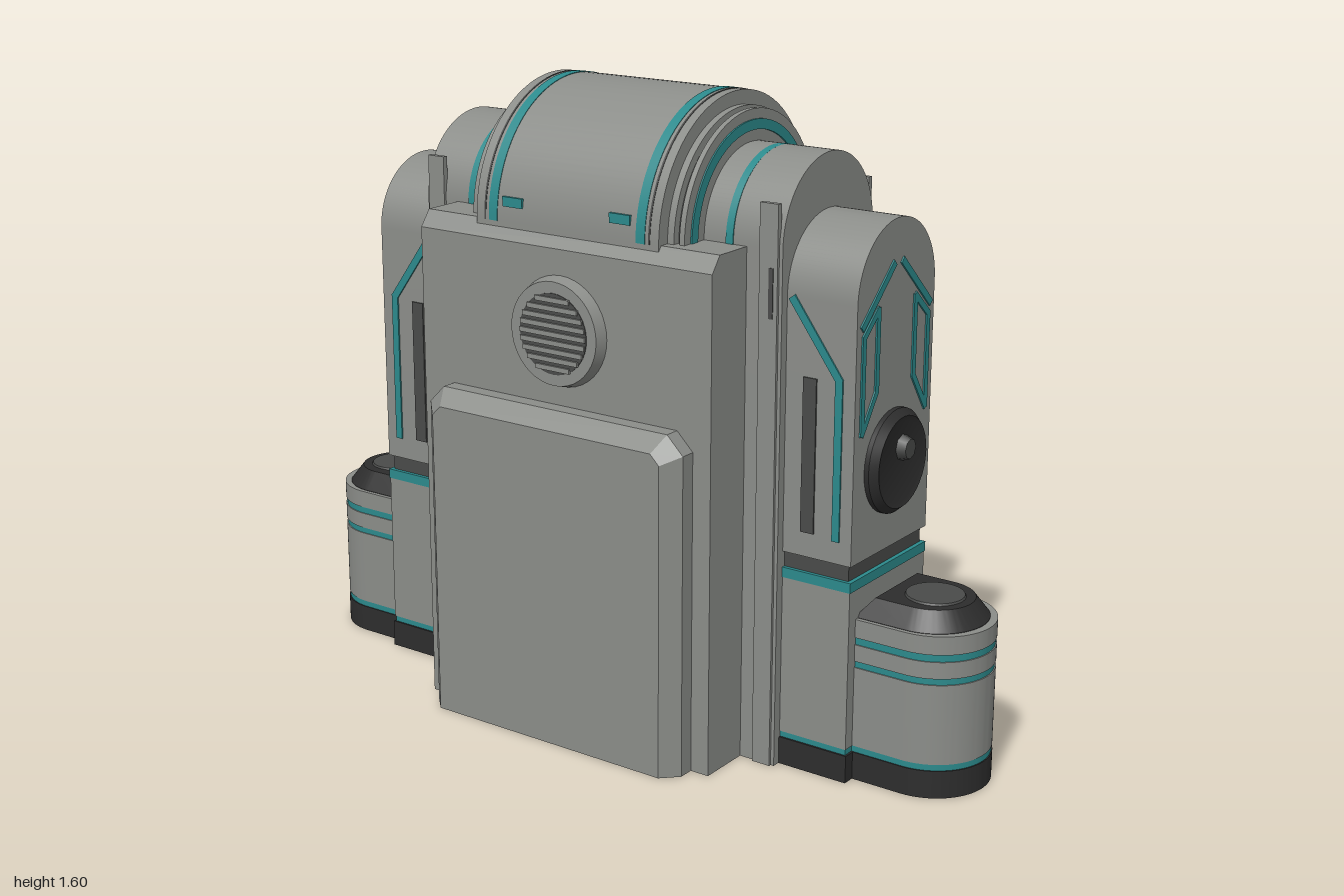
import * as THREE from 'three';
import { toCreasedNormals } from 'three/addons/utils/BufferGeometryUtils.js';

const mat = (name, color) => Object.assign(new THREE.MeshStandardMaterial({ color }), { name });

export function createModel() {
  const grey = mat('hull grey', 0x8b8d89);
  const teal = mat('teal trim', 0x2c8a8c);
  const dark = mat('dark rubber', 0x2d2d2d);
  const slate = mat('slate grey', 0x4a4b4a);
  const root = new THREE.Group();
  root.name = 'gatehouse';

  const add = (name, geo, m, parent = root) => {
    const mesh = new THREE.Mesh(geo, m);
    mesh.name = name;
    parent.add(mesh);
    return mesh;
  };
  const extrude = (shape, depth, opts = {}) => toCreasedNormals(
    new THREE.ExtrudeGeometry(shape, { depth, bevelEnabled: false, curveSegments: 28, ...opts }), 0.5);
  const poly = pts => new THREE.Shape(pts.map(p => new THREE.Vector2(...p)));
  const box = (name, x0, x1, y0, y1, z0, z1, m, parent) => {
    const mesh = add(name, new THREE.BoxGeometry(x1 - x0, y1 - y0, z1 - z0), m, parent);
    mesh.position.set((x0 + x1) / 2, (y0 + y1) / 2, (z0 + z1) / 2);
    return mesh;
  };

  // Round-topped upright shape and a hollow arch band standing on the floor
  const archShape = (r, cy, y0 = 0) => {
    const s = new THREE.Shape();
    s.moveTo(-r, y0).lineTo(r, y0).lineTo(r, cy).absarc(0, cy, r, 0, Math.PI, false);
    return s;
  };
  const innerArch = (s, r, cy) => {
    s.lineTo(-r, 0).lineTo(-r, cy).absarc(0, cy, r, Math.PI, 0, true);
    s.lineTo(r, 0);
    return s;
  };
  const CY = 0.505;
  const archBand = (ro, ri) => {
    const s = new THREE.Shape();
    s.moveTo(ri, 0).lineTo(ro, 0).lineTo(ro, CY).absarc(0, CY, ro, 0, Math.PI, false);
    s.lineTo(-ro, 0);
    return innerArch(s, ri, CY);
  };
  const alongZ = (name, shape, half, m) => {
    const geo = extrude(shape, half * 2);
    geo.translate(0, 0, -half);
    return add(name, geo, m);
  };
  const alongX = (name, shape, x0, x1, m) => {
    const geo = extrude(shape, x1 - x0);
    geo.rotateY(Math.PI / 2).translate(x0, 0, 0);
    return add(name, geo, m);
  };

  // Thin strip following points in a plane
  const strip = (name, pts, w, m, parent, closed = false) => {
    const g = new THREE.Group();
    g.name = name;
    const n = closed ? pts.length : pts.length - 1;
    for (let i = 0; i < n; i++) {
      const [ax, ay] = pts[i], [bx, by] = pts[(i + 1) % pts.length];
      const bar = add(name + 'Bar', new THREE.BoxGeometry(w, Math.hypot(bx - ax, by - ay) + w * 0.5, 0.008), m, g);
      bar.position.set((ax + bx) / 2, (ay + by) / 2, 0);
      bar.rotation.z = Math.atan2(by - ay, bx - ax) - Math.PI / 2;
    }
    parent.add(g);
  };
  const face = (name, x, sx) => {
    const g = new THREE.Group();
    g.name = name;
    g.position.x = x * sx;
    g.rotation.y = sx * Math.PI / 2;
    root.add(g);
    return g;
  };
  const flip = (pts, s) => pts.map(([u, v]) => [u * s, v]);

  // Core block with chamfered shoulders, and door wall with its recess
  alongZ('coreBlock', poly([[-0.34, 0], [0.22, 0], [0.22, 1.2], [0.34, 1.2], [0.34, 1.24],
    [0.31, 1.28], [-0.31, 1.28], [-0.34, 1.24]]), 0.435, grey);
  const wall = poly([[0.235, 0], [0.435, 0], [0.435, 1.2], [-0.435, 1.2], [-0.435, 0]]);
  alongX('doorWall', innerArch(wall, 0.235, CY), 0.22, 0.34, grey);

  // Barrel roof with stepped end rings
  alongZ('barrelRoof', archShape(0.32, 1.28, 1.2), 0.272, grey);
  alongZ('roofNeck', archShape(0.265, 1.28, 1.2), 0.3, slate);
  alongZ('roofRingInner', archShape(0.285, 1.28, 1.2), 0.29, grey);
  for (const s of [1, -1]) {
    const ring = (name, ro, ri, z, depth, m) => {
      const sh = new THREE.Shape();
      sh.absarc(0, 1.28, ro, 0, Math.PI, false);
      sh.absarc(0, 1.28, ri, Math.PI, 0, true);
      add(name, extrude(sh, depth), m).position.z = s * z - depth / 2;
    };
    ring('roofEndRing', 0.28, 0.2, 0.309, 0.014, grey);
    ring('roofEndTrim', 0.255, 0.23, 0.315, 0.01, teal);
    ring('barrelTrim', 0.3215, 0.31, s * 0.22 * s, 0.026, teal);
    ring('barrelGroove', 0.3212, 0.31, 0.245, 0.005, slate);
    ring('shoulderTrim', 0.203, 0.19, 0.388, 0.02, teal);
    // Small roof lights
    for (const sx of [1, -1]) {
      box('roofLight', sx * 0.315 - 0.006, sx * 0.315 + 0.006, 1.318, 1.342, s * 0.16 - 0.03, s * 0.16 + 0.03, teal);
    }
  }

  // Stepped buttress sections running through both ends
  alongZ('shoulderSection', archShape(0.2, 1.283), 0.533, grey);
  alongZ('buttressUpper', archShape(0.177, 1.173, 0.55), 0.72, grey);
  box('buttressGroove', -0.168, 0.168, 0.5, 0.56, -0.71, 0.71, slate);
  box('buttressTrim', -0.178, 0.178, 0.485, 0.51, -0.721, 0.721, teal);
  box('buttressLower', -0.176, 0.176, 0.085, 0.487, -0.719, 0.719, grey);
  box('buttressBaseTrim', -0.174, 0.174, 0.068, 0.087, -0.717, 0.717, teal);
  box('buttressFoot', -0.179, 0.179, 0, 0.07, -0.722, 0.722, dark);

  // Shoulder pilasters and slots, buttress side lights
  for (const sx of [1, -1]) {
    for (const s of [1, -1]) {
      box('pilaster', sx * 0.2 - 0.007, sx * 0.2 + 0.007, 0, 1.39, s * 0.499 - 0.025, s * 0.499 + 0.025, grey);
      box('pilasterSlot', sx * 0.205 - 0.004, sx * 0.205 + 0.004, 1.12, 1.24, s * 0.507 - 0.006, s * 0.507 + 0.006, slate);
    }
    const side = face('buttressSide', 0.177, sx);
    for (const s of [1, -1]) {
      strip('sideLight', flip([[0.55, 1.17], [0.678, 0.995], [0.678, 0.61]], s), 0.02, teal, side);
      strip('sideVent', flip([[0.6, 0.98], [0.6, 0.62]], s), 0.036, slate, side);
    }
  }

  // Both ends: lights, round port and rounded pod
  const stadium = (r, z0, zc) => {
    const s = new THREE.Shape();
    s.moveTo(-r, z0).lineTo(r, z0).lineTo(r, zc).absarc(0, zc, r, 0, Math.PI, false);
    return s;
  };
  for (const s of [1, -1]) {
    const end = new THREE.Group();
    end.name = s > 0 ? 'frontEnd' : 'backEnd';
    end.rotation.y = s > 0 ? 0 : Math.PI;
    root.add(end);
    const lights = new THREE.Group();
    lights.name = 'endLights';
    lights.position.z = 0.72;
    end.add(lights);
    for (const m of [1, -1]) {
      strip('endFrame', flip([[0.085, 1.15], [0.147, 1.095], [0.147, 0.865], [0.085, 0.955]], m), 0.016, teal, lights, true);
      strip('endDiagonal', flip([[0.02, 1.245], [0.155, 1.12]], m), 0.018, teal, lights);
    }
    const port = add('endPort', new THREE.LatheGeometry([[0, -0.01], [0.128, -0.01], [0.128, 0.012], [0.112, 0.03],
      [0.1, 0.026], [0, 0.03]].map(p => new THREE.Vector2(...p)), 36).toNonIndexed(), dark, end);
    port.geometry = toCreasedNormals(port.geometry, 0.4);
    port.rotation.x = Math.PI / 2;
    port.position.set(0, 0.767, 0.72);
    const knob = add('portKnob', new THREE.CylinderGeometry(0.025, 0.034, 0.025, 8), slate, end);
    knob.rotation.x = Math.PI / 2;
    knob.position.set(0, 0.803, 0.757);

    const layer = (name, r, y0, y1, m, zc = 0.853) => {
      const geo = extrude(stadium(r, 0.6, zc), y1 - y0);
      geo.rotateX(Math.PI / 2).translate(0, y1, 0);
      add(name, geo, m, end);
    };
    layer('podFoot', 0.147, 0, 0.07, dark);
    layer('podBaseTrim', 0.144, 0.07, 0.086, teal);
    layer('podBody', 0.146, 0.086, 0.288, grey);
    layer('podTrimLow', 0.143, 0.288, 0.304, teal);
    layer('podBand', 0.146, 0.304, 0.346, grey);
    layer('podTrimHigh', 0.143, 0.346, 0.364, teal);
    layer('podRim', 0.146, 0.364, 0.41, grey);
    const cap = extrude(stadium(0.135, 0.71, 0.845), 0.01,
      { bevelEnabled: true, bevelThickness: 0.045, bevelSize: 0.035, bevelOffset: -0.035, bevelSegments: 1 });
    cap.rotateX(Math.PI / 2).translate(0, 0.411, 0);
    add('podCap', cap, dark, end);
    add('podHatch', new THREE.CylinderGeometry(0.07, 0.075, 0.01, 28), slate, end).position.set(0, 0.456, 0.85);
  }

  // Doorway: stepped surround with trim, dark lining and sill
  alongX('archBase', archBand(0.385, 0.235), 0.33, 0.395, grey);
  alongX('archOuterBand', archBand(0.368, 0.34), 0.39, 0.42, grey);
  alongX('archOuterTrim', archBand(0.341, 0.309), 0.39, 0.41, teal);
  alongX('archMiddleBand', archBand(0.31, 0.27), 0.39, 0.42, grey);
  alongX('archInnerTrim', archBand(0.271, 0.238), 0.39, 0.41, teal);
  alongX('doorLining', archBand(0.239, 0.163), 0.22, 0.36, dark);
  box('doorSill', 0.215, 0.358, 0, 0.09, -0.165, 0.165, dark);

  // Door wall details
  const doorFace = face('doorWallDetails', 0.341, 1);
  for (const s of [1, -1]) {
    strip('wallLight', flip([[0.367, 1.155], [0.367, 1.04], [0.305, 0.975], [0.305, 0.835]], s), 0.018, teal, doorFace);
    strip('wallLight', flip([[0.427, 1.1], [0.427, 1.0], [0.38, 0.95], [0.38, 0.755]], s), 0.018, teal, doorFace);
    strip('screenFrame', flip([[0.258, 1.195], [0.145, 1.195], [0.145, 1.13], [0.18, 1.095], [0.235, 1.095], [0.258, 1.125]], s),
      0.012, slate, doorFace, true);
    strip('wallSeam', flip([[0.434, 0.68], [0.3, 0.81]], s), 0.006, slate, doorFace);
    // Lights and seams on the wall ends
    box('wallEndLight', 0.21, 0.336, 0.998, 1.02, s * 0.435 - 0.004, s * 0.435 + 0.004, teal);
    box('wallEndSeam', 0.21, 0.34, 0.676, 0.684, s * 0.435 - 0.002, s * 0.435 + 0.002, slate);
  }
  strip('wallTopSeam', [[-0.43, 1.236], [0.43, 1.236]], 0.006, slate, doorFace);

  // Round emblems-free medallions on both walls
  const disc = (name, r, x0, x1, m, r2 = r) => {
    const mesh = add(name, new THREE.CylinderGeometry(x1 > 0 ? r2 : r, x1 > 0 ? r : r2, Math.abs(x1 - x0), 40), m);
    mesh.rotation.z = -Math.PI / 2;
    mesh.position.set((x0 + x1) / 2, 1.04, 0);
  };
  disc('doorDiscRim', 0.148, 0.33, 0.362, grey, 0.138);
  disc('doorDiscTrim', 0.118, 0.34, 0.365, teal);
  disc('doorDiscCentre', 0.098, 0.34, 0.368, grey);
  disc('ventRim', 0.14, -0.33, -0.37, grey, 0.128);
  disc('ventWell', 0.1, -0.34, -0.372, slate);
  for (let i = -4; i <= 4; i++) {
    const y = i * 0.021, w = Math.sqrt(0.0096 - y * y);
    box('ventLouvre', -0.377, -0.36, 1.04 + y - 0.006, 1.04 + y + 0.006, -w, w, grey);
  }

  // Bevelled slab on the far wall
  const slab = extrude(poly([[-0.385, 0], [0.385, 0], [0.385, 0.81], [0.34, 0.855], [-0.34, 0.855], [-0.385, 0.81]]), 0.05);
  slab.rotateY(-Math.PI / 2).translate(-0.33, 0, 0);
  const p = slab.attributes.position;
  add('slabBase', slab, grey);
  const rim = [[0.385, 0, 0.345, 0], [0.385, 0.81, 0.345, 0.79], [0.34, 0.855, 0.32, 0.815],
    [-0.34, 0.855, -0.32, 0.815], [-0.385, 0.81, -0.345, 0.79], [-0.385, 0, -0.345, 0]];
  const v = [];
  rim.forEach(([z, y, zi, yi], i) => {
    const [z2, y2, zi2, yi2] = rim[(i + 1) % rim.length];
    const a = [-0.38, y, z], b = [-0.38, y2, z2], c = [-0.42, yi2, zi2], d = [-0.42, yi, zi];
    v.push(...a, ...c, ...b, ...a, ...d, ...c, -0.42, 0.4, 0, ...c, ...d);
  });
  const bevel = new THREE.BufferGeometry();
  bevel.setAttribute('position', new THREE.Float32BufferAttribute(v, 3));
  bevel.computeVertexNormals();
  const bevelMat = grey;
  bevelMat.side = THREE.DoubleSide;
  add('slabBevel', bevel, bevelMat);

  return root;
}
